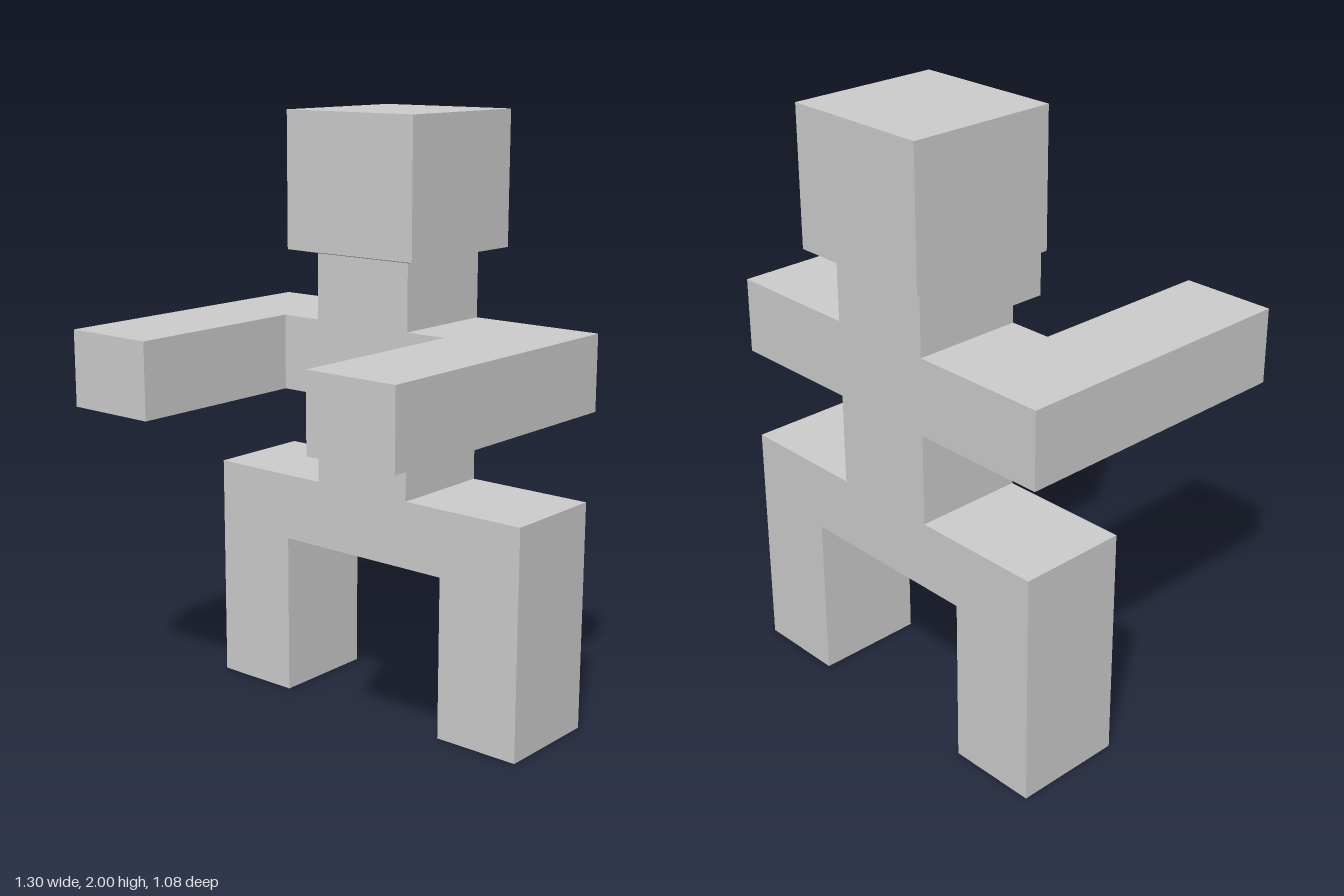
import * as THREE from 'three';

const material = new THREE.MeshStandardMaterial({ color: 0xcccccc, flatShading: true });

const BACK = -0.47, FRONT = -0.1;
const MID = (BACK + FRONT) / 2;

function extrude(points, depth) {
  const shape = new THREE.Shape(points.map(([x, y]) => new THREE.Vector2(x, y)));
  return new THREE.ExtrudeGeometry(shape, { depth, bevelEnabled: false });
}

export function createModel() {
  const model = new THREE.Group();
  model.name = 'blockFigure';
  const add = (name, geometry) => {
    const mesh = new THREE.Mesh(geometry, material);
    mesh.name = name;
    model.add(mesh);
  };

  // Torso, hips and legs: one symmetric outline, extruded front to back
  const half = [[0.325, 0.55], [0.325, 0], [0.628, 0], [0.628, 0.775], [0.185, 0.775], [0.185, 1.542]];
  const mirrored = half.map(([x, y]) => [-x, y]).reverse();
  add('torsoAndLegs', extrude([...half, ...mirrored], FRONT - BACK).translate(0, 0, BACK));

  // Arms: L-shaped in plan, out from the torso and then forward
  for (const [name, s] of [['leftArm', 1], ['rightArm', -1]]) {
    const plan = [[0.185, BACK], [0.65, BACK], [0.65, 0.54], [0.33, 0.54], [0.33, FRONT], [0.185, FRONT]];
    const arm = extrude(plan.map(([x, z]) => [s * x, -z]), 0.25);
    add(name, arm.rotateX(-Math.PI / 2).translate(0, 1.075, 0));
  }

  // Head: a cube, with a shallow taper from its underside to the neck
  const headBase = 1.556;
  add('head', new THREE.BoxGeometry(0.508, 2 - headBase, 0.508).translate(0, (2 + headBase) / 2, MID));
  const taper = new THREE.CylinderGeometry(0.254 * Math.SQRT2, 0.185 * Math.SQRT2, 0.014, 4);
  add('headUnderside', taper.rotateY(Math.PI / 4).translate(0, headBase - 0.007, MID));

  return model;
}
